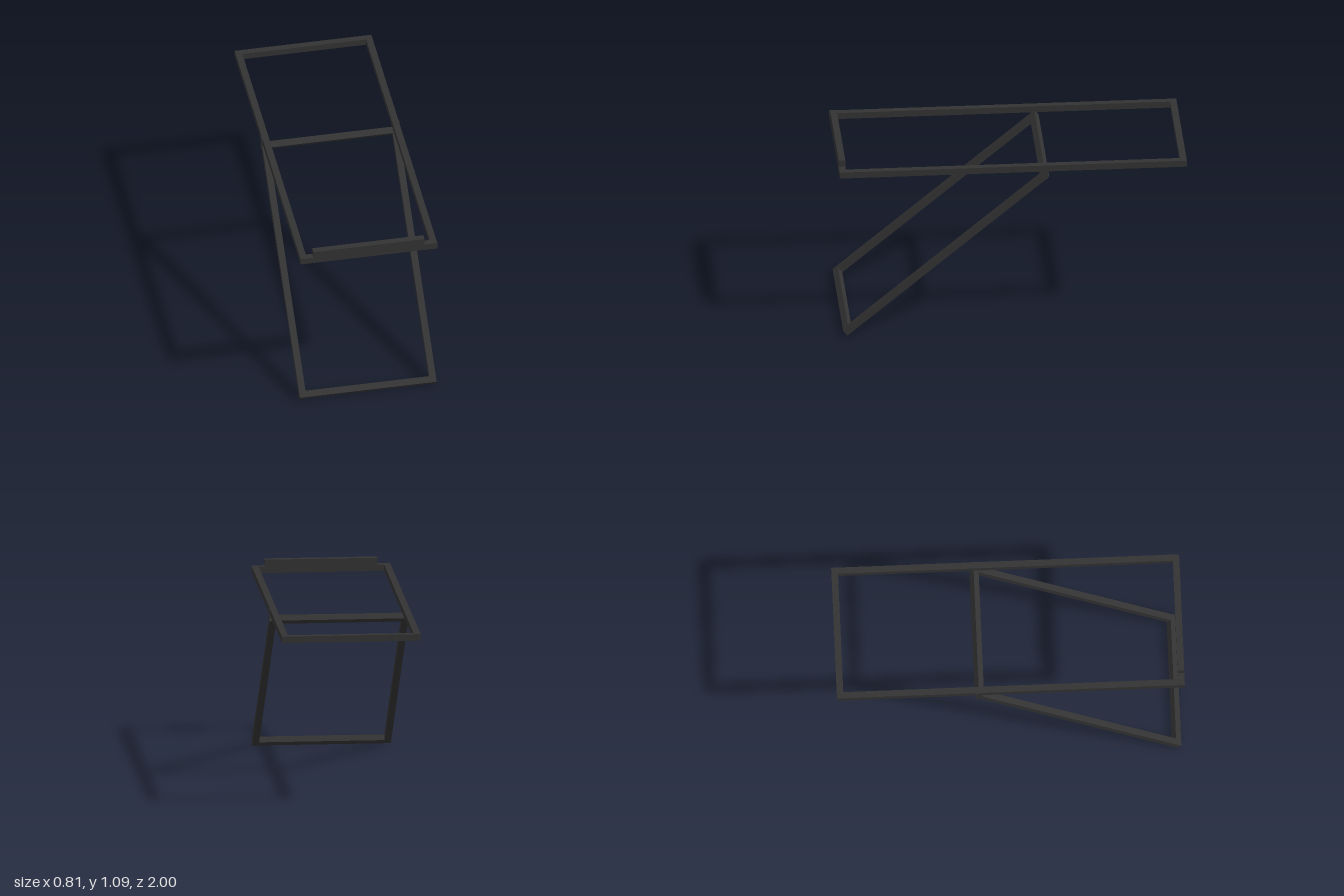
import * as THREE from 'three';

const BAR = 0.038; // square tube width
const HALF_W = 0.4;

// Rectangular frame of square bar, lying in the local XY plane and centred
function frameGeometry(width, length) {
  const outline = (w, l, Path) => new Path([
    new THREE.Vector2(-w / 2, -l / 2), new THREE.Vector2(w / 2, -l / 2),
    new THREE.Vector2(w / 2, l / 2), new THREE.Vector2(-w / 2, l / 2),
  ]);
  const shape = outline(width, length, THREE.Shape);
  shape.holes.push(outline(width - 2 * BAR, length - 2 * BAR, THREE.Path));
  return new THREE.ExtrudeGeometry(shape, { depth: BAR, bevelEnabled: false })
    .translate(0, 0, -BAR / 2);
}

export function createModel() {
  const group = new THREE.Group();
  const material = new THREE.MeshStandardMaterial({ color: 0x333333 });

  const add = (name, geometry, x, y, z) => {
    const mesh = new THREE.Mesh(geometry, material);
    mesh.name = name;
    mesh.position.set(x, y, z);
    group.add(mesh);
    return mesh;
  };

  // Horizontal top frame
  const topY = 1.029;
  add('topFrame', frameGeometry(2 * HALF_W, 2), 0, topY, 0).rotation.x = -Math.PI / 2;

  // Raised stop along the front edge
  add('frontLip', new THREE.BoxGeometry(0.65, 0.04, 0.038), 0, topY + BAR / 2 + 0.02, 0.981);

  // Slanted leg frame, from the floor at the front up to the hinge
  const foot = new THREE.Vector3(0, 0.0145, 0.968);
  const head = new THREE.Vector3(0, 0.99, -0.195);
  const run = head.clone().sub(foot);
  const mid = foot.clone().add(head).multiplyScalar(0.5);
  add('legFrame', frameGeometry(2 * HALF_W, run.length()), mid.x, mid.y, mid.z)
    .rotation.x = Math.atan2(run.z, run.y);

  // Thin hinge plates joining the two frames on the outer sides
  for (const [name, side] of [['leftHingePlate', 1], ['rightHingePlate', -1]]) {
    add(name, new THREE.BoxGeometry(0.008, 0.076, 0.038), side * 0.4, 1.002, -0.181);
  }

  return group;
}
